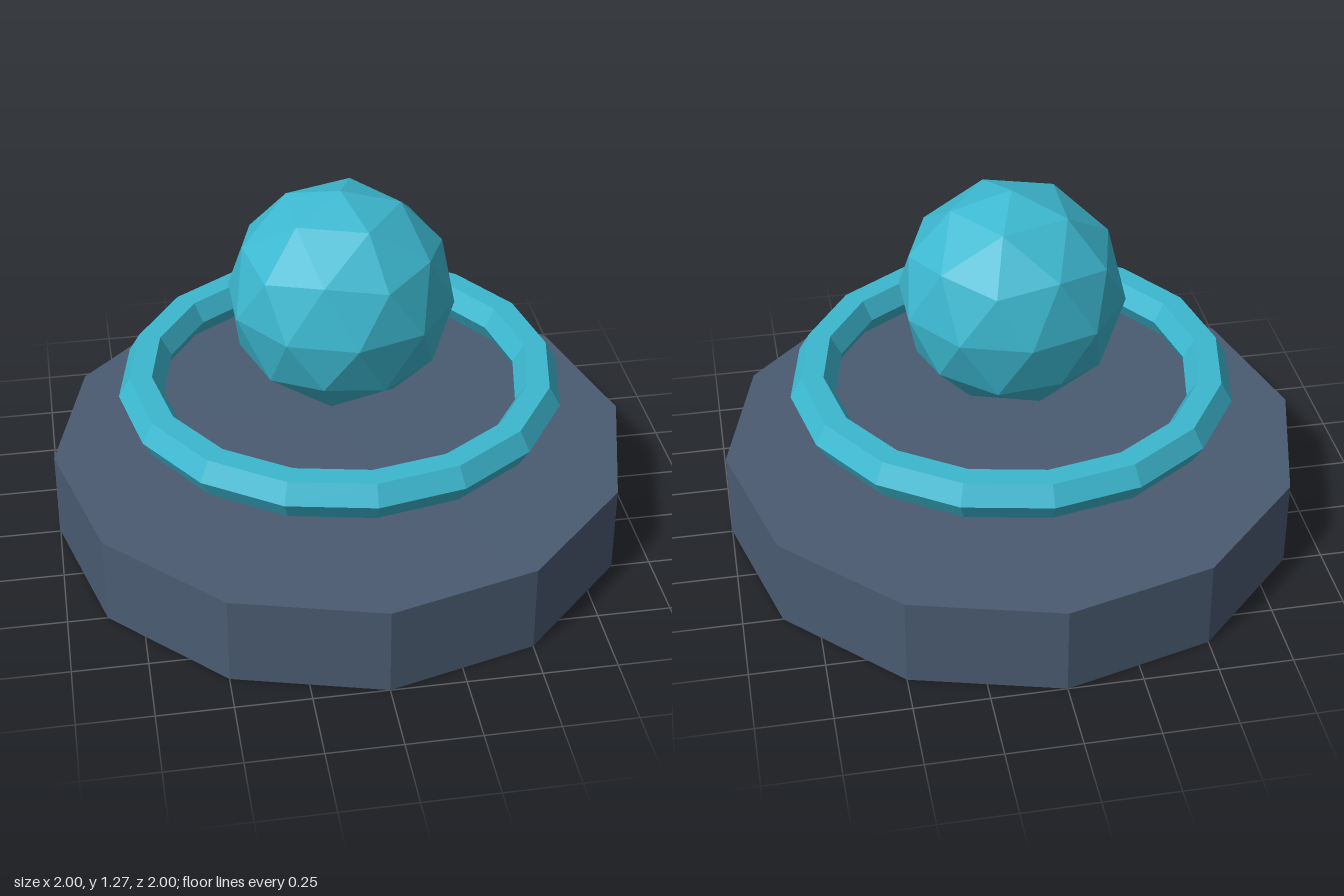
import * as THREE from 'three';

export function createModel() {
  const model = new THREE.Group();
  const slate = new THREE.MeshStandardMaterial({ name: 'slate', color: 0x4a5b72, flatShading: true });
  const cyan = new THREE.MeshStandardMaterial({ name: 'cyan', color: 0x3cb8d0, flatShading: true });

  const add = (name, geometry, material, y) => {
    const mesh = new THREE.Mesh(geometry, material);
    mesh.name = name;
    mesh.position.y = y;
    model.add(mesh);
    return mesh;
  };

  // Twelve-sided pedestal
  const baseHeight = 0.315;
  add('base', new THREE.CylinderGeometry(1, 1, baseHeight, 12), slate, baseHeight / 2);

  // Floating ring with a hexagonal section
  add('ring', new THREE.TorusGeometry(0.686, 0.077, 6, 16).rotateX(Math.PI / 2), cyan, 0.547);

  // Faceted orb, tipped so a five-sided corner points straight up
  const tilt = Math.atan(2 / (1 + Math.sqrt(5)));
  add('orb', new THREE.IcosahedronGeometry(0.385, 1).rotateZ(-tilt), cyan, 0.887);

  return model;
}
